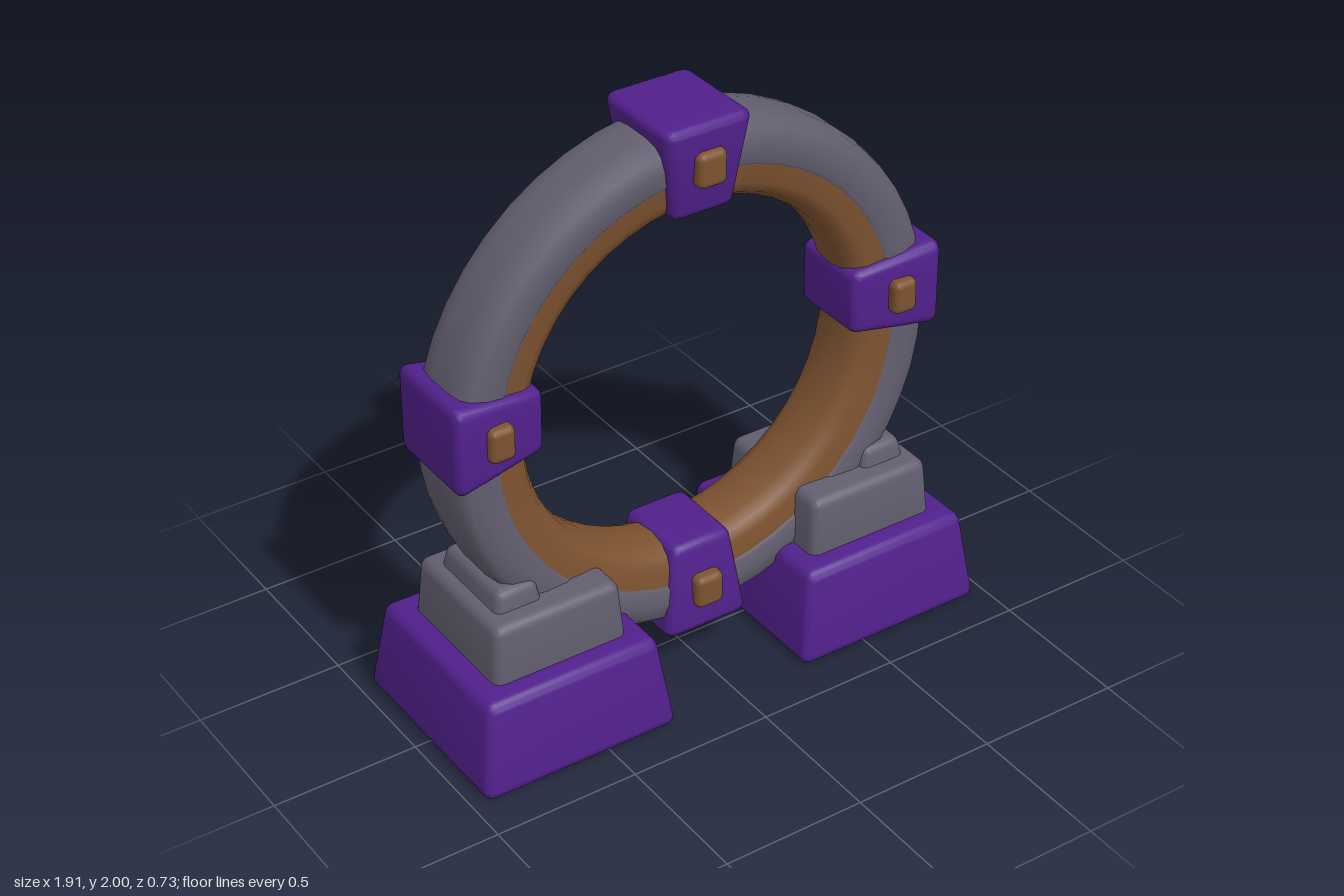
import * as THREE from 'three';
import { RoundedBoxGeometry } from 'three/addons/geometries/RoundedBoxGeometry.js';
import { mergeVertices, toCreasedNormals } from 'three/addons/utils/BufferGeometryUtils.js';

const material = (name, color) => {
  const m = new THREE.MeshStandardMaterial({ color });
  m.name = name;
  return m;
};

// Rounded block, centred, tapering from bottom (w0 x d0) to top (w1 x d1)
function taperedBlock(w0, d0, w1, d1, h, radius) {
  const box = new RoundedBoxGeometry(w0, h, d0, 3, radius);
  const p = box.attributes.position;
  for (let i = 0; i < p.count; i++) {
    const t = p.getY(i) / h + 0.5;
    p.setX(i, p.getX(i) * THREE.MathUtils.lerp(1, w1 / w0, t));
    p.setZ(i, p.getZ(i) * THREE.MathUtils.lerp(1, d1 / d0, t));
  }
  box.deleteAttribute('uv');
  box.deleteAttribute('normal');
  return toCreasedNormals(mergeVertices(box, 1e-4), 0.7);
}

// Revolved band of the ring; its profile is [radius, z], and the ring is slimmer near the top
function ringBand(profile) {
  const g = new THREE.LatheGeometry(profile.map(([r, z]) => new THREE.Vector2(r, z)), 48);
  g.rotateX(Math.PI / 2);
  const p = g.attributes.position;
  for (let i = 0; i < p.count; i++) {
    const slim = THREE.MathUtils.smoothstep(p.getY(i), -0.1, 0.55);
    p.setZ(i, p.getZ(i) * (1 - 0.1 * slim));
  }
  return g;
}

export function createModel() {
  const purple = material('purple', 0x51208c);
  const grey = material('stone grey', 0x625e6f);
  const brown = material('bronze brown', 0x7d5230);

  const model = new THREE.Group();
  model.name = 'ringGate';
  const add = (parent, name, geometry, mat, x = 0, y = 0, z = 0) => {
    const mesh = new THREE.Mesh(geometry, mat);
    mesh.name = name;
    mesh.position.set(x, y, z);
    parent.add(mesh);
    return mesh;
  };

  // Ring: grey outer tube and brown inner lining
  const ringY = 1.07;
  add(model, 'outerRing', ringBand([
    [0.73, -0.13], [0.745, -0.143], [0.8, -0.148], [0.85, -0.138], [0.875, -0.11], [0.885, -0.05],
    [0.885, 0.05], [0.875, 0.11], [0.85, 0.138], [0.8, 0.148], [0.745, 0.143], [0.73, 0.13],
  ]), grey, 0, ringY);
  add(model, 'innerRing', ringBand([
    [0.735, 0.135], [0.67, 0.128], [0.635, 0.11], [0.612, 0.07], [0.605, 0],
    [0.612, -0.07], [0.635, -0.11], [0.67, -0.128], [0.735, -0.135],
  ]), brown, 0, ringY);

  // Four wedge clamps around the ring, each with a stud on both faces
  const clampGeometry = taperedBlock(0.22, 0.28, 0.315, 0.36, 0.325, 0.03);
  const studGeometry = new RoundedBoxGeometry(0.105, 0.12, 0.08, 3, 0.025);
  const clamps = [
    ['topClamp', 0, 1.838, 0],
    ['leftClamp', 0.735, 1.155, -Math.PI / 2],
    ['bottomClamp', 0, 0.322, Math.PI],
    ['rightClamp', -0.735, 1.155, Math.PI / 2],
  ];
  for (const [name, x, y, angle] of clamps) {
    const clamp = new THREE.Group();
    clamp.name = name;
    clamp.position.set(x, y, 0);
    clamp.rotation.z = angle;
    add(clamp, 'clampBody', clampGeometry, purple);
    const sideways = x !== 0;
    for (const s of [-1, 1]) {
      const stud = add(clamp, 'stud', studGeometry, brown, 0, 0.012, s * 0.156);
      // Studs stay upright on the side clamps
      if (sideways) {
        stud.rotation.z = -angle;
        stud.scale.x = 0.85;
      }
    }
    model.add(clamp);
  }

  // Two stepped feet
  const baseGeometry = taperedBlock(0.71, 0.745, 0.62, 0.65, 0.33, 0.035);
  const blockGeometry = taperedBlock(0.49, 0.505, 0.45, 0.475, 0.24, 0.035);
  const collarGeometry = taperedBlock(0.19, 0.36, 0.14, 0.32, 0.14, 0.03);
  for (const s of [-1, 1]) {
    const foot = new THREE.Group();
    foot.name = s > 0 ? 'leftFoot' : 'rightFoot';
    add(foot, 'footBase', baseGeometry, purple, s * 0.603, 0.165);
    add(foot, 'footBlock', blockGeometry, grey, s * 0.6, 0.41);
    add(foot, 'footCollar', collarGeometry, grey, s * 0.7, 0.53);
    model.add(foot);
  }
  return model;
}
